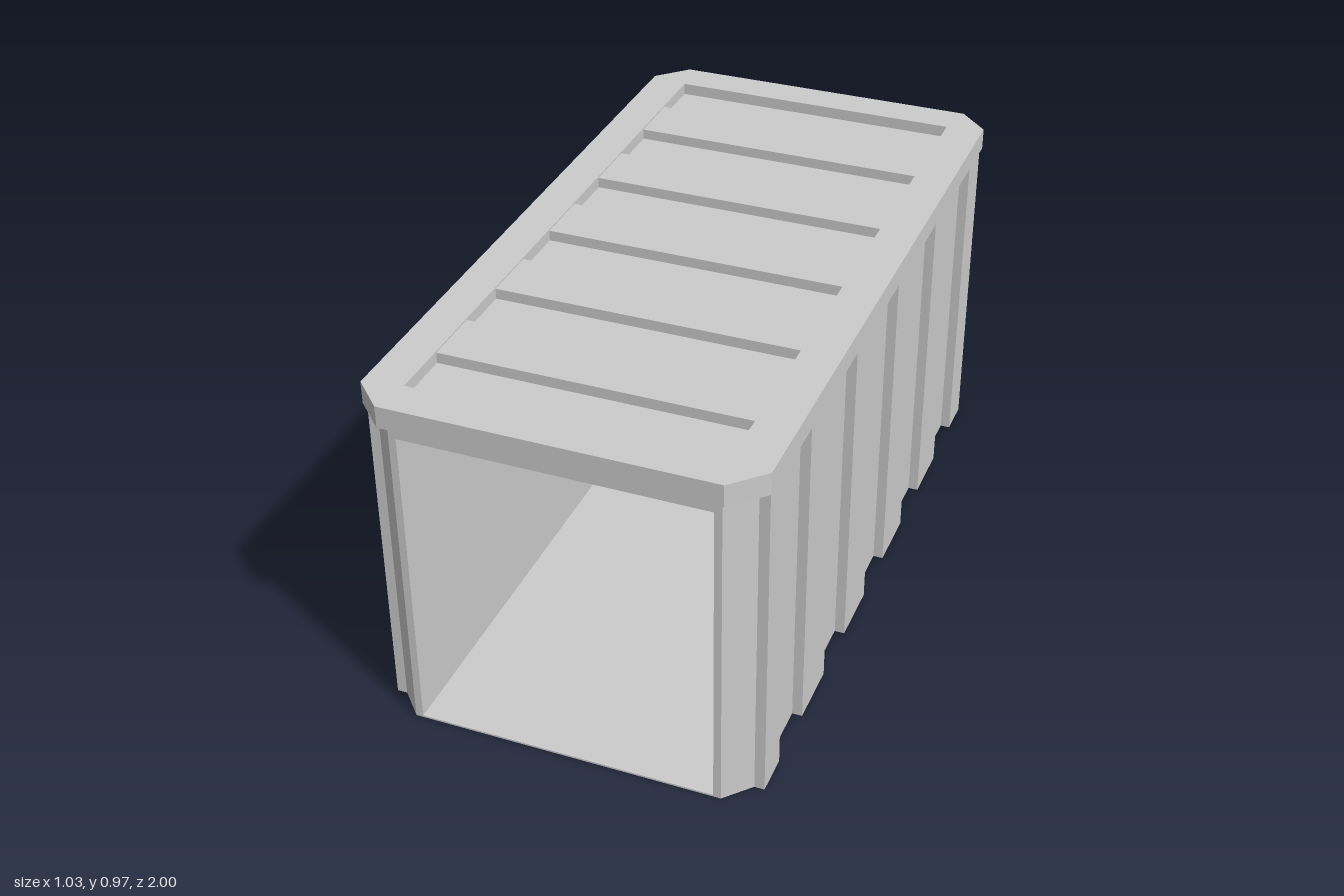
import * as THREE from 'three';

const material = new THREE.MeshStandardMaterial({ color: 0xcccccc, flatShading: true });

function addMesh(group, name, geometry) {
  const mesh = new THREE.Mesh(geometry, material);
  mesh.name = name;
  group.add(mesh);
  return mesh;
}

// Box given by its min and max corners
function addBox(group, name, [x0, y0, z0], [x1, y1, z1]) {
  const mesh = addMesh(group, name, new THREE.BoxGeometry(x1 - x0, y1 - y0, z1 - z0));
  mesh.position.set((x0 + x1) / 2, (y0 + y1) / 2, (z0 + z1) / 2);
}

// Plan outline of [x, z] points raised from y0 to y1
function raisePlan(points, y0, y1, hole) {
  const toPlan = (list) => list.map(([x, z]) => new THREE.Vector2(x, -z));
  const shape = new THREE.Shape(toPlan(points));
  if (hole) shape.holes.push(new THREE.Path(toPlan(hole)));
  const geometry = new THREE.ExtrudeGeometry(shape, { depth: y1 - y0, bevelEnabled: false });
  return geometry.rotateX(-Math.PI / 2).translate(0, y0, 0);
}

export function createModel() {
  const model = new THREE.Group();
  model.name = 'container';

  const wallTop = 0.91, front = 0.975, back = -0.97, backRidge = -0.985;
  const side = 0.483, sideRidge = 0.51, cornerX = 0.42, cornerZ = 0.907;
  const inner = 0.4, innerBack = -0.93;

  // Corrugated right half of the wall outline, from the front opening to the back centre
  const half = [[inner, front], [cornerX, front], [side, cornerZ]];
  const sideSteps = [cornerZ, 0.798, 0.62, 0.443, 0.266, 0.089];
  const allSteps = [...sideSteps, ...sideSteps.map((z) => -z).reverse()];
  allSteps.forEach((z, i) => {
    const [from, to] = i % 2 === 0 ? [side, sideRidge] : [sideRidge, side];
    if (i > 0) half.push([from, z]);
    half.push([to, z]);
  });
  half.push([cornerX, back], [cornerX, backRidge], [0.252, backRidge], [0.252, back],
    [0.084, back], [0.084, backRidge]);

  // Mirror to the other side, then close around the hollow interior
  const mirrored = half.map(([x, z]) => [-x, z]).reverse();
  const outline = [...half, ...mirrored, [-inner, innerBack], [inner, innerBack]];
  addMesh(model, 'corrugatedWalls', raisePlan(outline, 0, wallTop));

  // Floor and ceiling close the interior, the front stays open
  addBox(model, 'floor', [-inner, 0, innerBack], [inner, 0.005, front]);
  addBox(model, 'ceiling', [-inner, 0.87, innerBack], [inner, wallTop, front]);

  // Roof rim with cut corners
  const rx = 0.515, rz = 1, cx = 0.433, cz = 0.918, hx = 0.41, hz = 0.897;
  const rim = [[cx, rz], [rx, cz], [rx, -cz], [cx, -rz], [-cx, -rz], [-rx, -cz], [-rx, cz], [-cx, rz]];
  const opening = [[hx, hz], [hx, -hz], [-hx, -hz], [-hx, hz]];
  addMesh(model, 'roofRim', raisePlan(rim, wallTop, 0.97, opening));

  // Recessed roof panel with five raised ribs
  addBox(model, 'roofPanel', [-hx, wallTop, -hz], [hx, 0.937, hz]);
  const pitch = (2 * hz) / 11;
  for (let i = 1; i < 11; i += 2) {
    const z = -hz + i * pitch;
    addBox(model, 'roofRib', [-hx, 0.93, z], [hx, 0.966, z + pitch]);
  }

  return model;
}
